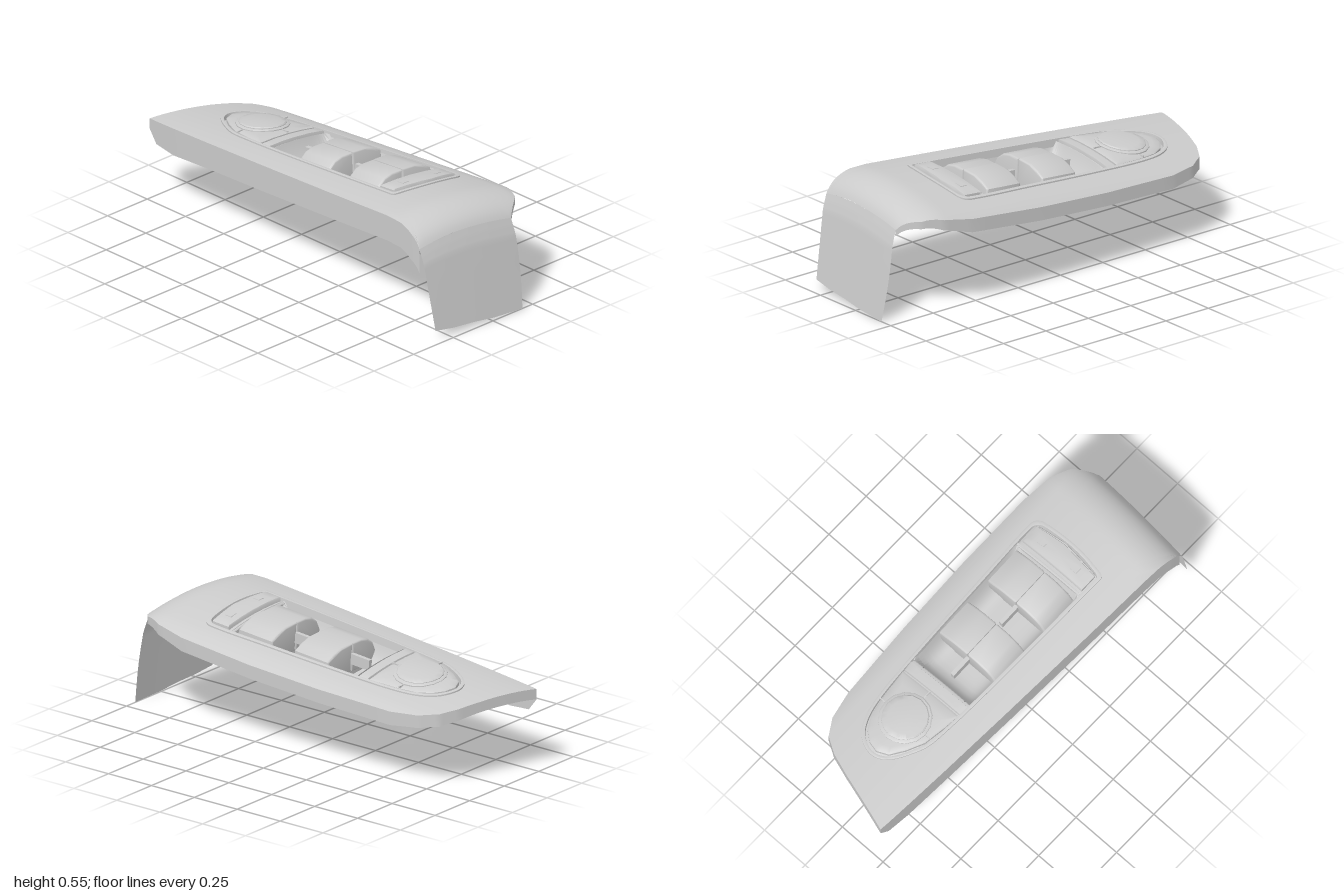
import * as THREE from 'three';
import { mergeVertices, toCreasedNormals } from 'three/addons/utils/BufferGeometryUtils.js';

const material = new THREE.MeshStandardMaterial({ color: 0xcccccc, side: THREE.DoubleSide });
const TILT = Math.atan(0.0845);

// x of the fold where the top turns down into the end flap
const foldX = z => 0.907 - 0.073 * z;

// Height of the crowned, gently rising top surface
function H(x, z) {
  let y = 0.407 + 0.0845 * (x + 1);
  y -= z > 0.13 ? 0.022 * ((z - 0.13) / 0.225) ** 2 : 0.05 * ((0.13 - z) / 0.39) ** 2;
  if (z < -0.26) y -= 2 * (z + 0.26) ** 2;
  const t = THREE.MathUtils.clamp((x - foldX(z) + 0.2) / 0.2, 0, 1);
  return y - 0.15 * (1 - Math.sqrt(1 - (0.96 * t) ** 2));
}

// Grid surface from a rule f(u, v) -> [x, y, z]
function surface(nu, nv, f, crease = 0.6) {
  const pos = [], idx = [];
  for (let j = 0; j <= nv; j++)
    for (let i = 0; i <= nu; i++) pos.push(...f(i / nu, j / nv));
  for (let j = 0; j < nv; j++)
    for (let i = 0; i < nu; i++) {
      const a = j * (nu + 1) + i, b = a + nu + 1;
      idx.push(a, a + 1, b, a + 1, b + 1, b);
    }
  const g = new THREE.BufferGeometry();
  g.setAttribute('position', new THREE.Float32BufferAttribute(pos, 3));
  g.setIndex(idx);
  return toCreasedNormals(mergeVertices(g, 1e-5), crease);
}

// Point on a list of rows at parameter t, linear between rows
function sample(rows, t, closed = true) {
  const n = closed ? rows.length : rows.length - 1;
  const k = Math.min(Math.floor(t * n + 1e-9), n - 1), f = t * n - k;
  const a = rows[k], b = rows[(k + 1) % rows.length];
  return a.map((v, i) => v + (b[i] - v) * f);
}

// Crowned pad that follows the top surface, with a side wall down
function pad(outline, lift, dome, depth) {
  const n = outline.length;
  const cx = outline.reduce((s, p) => s + p[0], 0) / n;
  const cz = outline.reduce((s, p) => s + p[1], 0) / n;
  const rows = [0, 0.25, 0.5, 0.75, 0.95, 1, 1];
  return surface(n * 4, rows.length - 1, (u, v) => {
    const k = Math.round(v * (rows.length - 1)), s = rows[k];
    const [px, pz] = sample(outline, u);
    const x = cx + (px - cx) * s, z = cz + (pz - cz) * s;
    const drop = k === 6 ? depth : k === 5 ? 0.004 : 0;
    return [x, H(x, z) + lift + dome * (1 - s * s) - drop, z];
  });
}

const circle = (cx, cz, r, n = 16) => Array.from({ length: n }, (_, i) => {
  const a = i / n * Math.PI * 2;
  return [cx + r * Math.cos(a), cz + r * Math.sin(a)];
});

// Outline stations, from the front right corner round the front, left and back:
// outer x, outer z, skirt depth, opening x, opening z
const STATIONS = [
  [0.882, 0.35, 0.12, 0.54, 0.185], [0.83, 0.35, 0.13, 0.51, 0.187], [0.75, 0.345, 0.125, 0.48, 0.186],
  [0.3, 0.322, 0.127, 0.25, 0.18], [-0.2, 0.293, 0.13, -0.2, 0.165], [-0.6, 0.267, 0.13, -0.45, 0.15],
  [-0.83, 0.25, 0.135, -0.57, 0.135], [-0.95, 0.24, 0.115, -0.64, 0.105], [-1, 0.235, 0.05, -0.7, 0.07],
  [-0.95, 0.07, 0.05, -0.745, 0.03], [-0.91, -0.06, 0.05, -0.768, -0.03], [-0.87, -0.17, 0.055, -0.755, -0.09],
  [-0.82, -0.25, 0.06, -0.715, -0.145], [-0.74, -0.3, 0.06, -0.64, -0.185], [-0.6, -0.33, 0.065, -0.52, -0.208],
  [-0.2, -0.35, 0.065, -0.2, -0.225], [0.2, -0.357, 0.065, 0.2, -0.235], [0.6, -0.35, 0.065, 0.48, -0.241],
  [0.75, -0.33, 0.05, 0.54, -0.235], [0.85, -0.285, 0.035, 0.562, -0.21], [0.921, -0.19, 0.03, 0.57, -0.15],
  [0.907, 0, 0, 0.572, 0], [0.892, 0.2, 0, 0.558, 0.12],
];
const N = STATIONS.length;
const opening = new THREE.CatmullRomCurve3(STATIONS.map(s => new THREE.Vector3(s[3], 0, s[4])), true);

export function createModel() {
  const root = new THREE.Group();
  const add = (name, geometry, parent = root) => {
    const m = new THREE.Mesh(geometry, material);
    m.name = name;
    parent.add(m);
    return m;
  };

  // Top cover with the switch opening
  add('topCover', surface(N * 5, 14, (u, v) => {
    const o = sample(STATIONS, u), p = opening.getPoint(u);
    const s = 1 - (1 - v) ** 1.4;
    const x = p.x + (o[0] - p.x) * s, z = p.z + (o[1] - p.z) * s;
    return [x, H(x, z), z];
  }));

  // Skirt around the front, left and back
  add('skirt', surface(20 * 5, 2, (u, v) => {
    const [x, z, d] = sample(STATIONS, u * 20 / N);
    return [x, H(x, z) - d * v, z];
  }));

  // Flap hanging from the right hand end
  const hem = [[0.325, 0.045], [0.22, 0.03], [0.1, 0.022], [-0.02, 0.008], [-0.185, 0]];
  const fall = [[0, 0], [0.012, 0.08], [0.025, 0.18], [0.04, 0.4], [0.06, 0.7], [0.08, 1]];
  add('endFlap', surface(16, 20, (u, v) => {
    const [zb, yb] = sample(hem, u, false), [dx, t] = sample(fall, v, false);
    const zt = 0.35 - 0.54 * u, z = zt + (zb - zt) * t - (u === 1 ? 0.012 * Math.sin(t * Math.PI) : 0);
    const y0 = H(foldX(zt), zt);
    return [foldX(zt) + dx, y0 + (yb - y0) * t, z];
  }));

  // Raised bezel along the opening
  const lip = [[0, -0.02], [0, 0.007], [0.006, 0.009], [0.016, 0.007], [0.02, -0.03]];
  add('bezel', surface(N * 5, 4, (u, v) => {
    const p = opening.getPoint(u), [inset, lift] = lip[4 - Math.round(v * 4)];
    const x = -0.1 + (p.x + 0.1) * (1 - inset / 0.67), z = -0.03 + (p.z + 0.03) * (1 - inset / 0.2);
    return [x, H(x, z) + lift, z];
  }));

  // Scooped pocket under the rockers
  add('pocket', surface(32, 24, (u, v) => {
    const x = -0.3 + 0.72 * v, a = 2 * v - 1, b = 2 * u - 1;
    const front = 0.165 + 0.025 * x, back = -0.215 - 0.02 * x;
    const z = back + (front - back) * u;
    return [x, H(x, z) - 0.005 - 0.13 * (1 - a ** 12) * (1 - b ** 6), z];
  }));

  // Rounded deck, mirror control panel and knob at the left
  const deck = [[-0.3, 0.155], [-0.45, 0.145], [-0.57, 0.125], [-0.66, 0.08], [-0.73, 0.03], [-0.755, -0.03],
    [-0.74, -0.09], [-0.7, -0.14], [-0.63, -0.18], [-0.52, -0.2], [-0.3, -0.215]];
  add('mirrorDeck', pad(deck, -0.012, 0, 0.02));
  const panel = deck.map(([x, z]) => [Math.min(-0.375, -0.53 + (x + 0.53) * 0.93), -0.03 + (z + 0.03) * 0.92]);
  add('mirrorPanel', pad(panel, 0.008, 0.008, 0.03));
  add('knobCollar', pad(circle(-0.54, -0.035, 0.125), 0.02, 0, 0.03));
  add('mirrorKnob', pad(circle(-0.54, -0.035, 0.11), 0.027, 0.006, 0.03));
  add('panelBar', pad([[-0.365, 0.14], [-0.365, -0.2], [-0.315, -0.205], [-0.315, 0.145]], 0.004, 0, 0.03));
  for (const [x, z, w, d] of [[-0.395, -0.035, 0.04, 0.006], [-0.54, 0.107, 0.006, 0.03], [-0.54, -0.175, 0.006, 0.03]]) {
    const rib = add('panelRib', new THREE.BoxGeometry(w, 0.008, d));
    rib.position.set(x, H(x, z) + 0.011, z);
    rib.rotation.z = TILT;
  }

  // Lock button at the right
  add('buttonDeck', pad([[0.41, 0.17], [0.41, -0.22], [0.54, -0.222], [0.557, -0.05], [0.53, 0.17]], -0.008, 0, 0.02));
  add('lockButton', pad([[0.432, 0.16], [0.437, -0.21], [0.53, -0.21], [0.543, -0.05], [0.52, 0.16]], 0.013, 0.004, 0.03));
  for (const z of [-0.13, 0.07])
    add('buttonMark', pad([[0.47, z + 0.02], [0.47, z - 0.02], [0.505, z - 0.02], [0.505, z + 0.02]], 0.018, 0, 0.008));

  // Window rockers: rear pad, curved front pad, hollow base and side fin
  const profiles = {
    rockerRear: [[-0.195, -0.11], [-0.19, -0.028], [-0.15, -0.006], [-0.1, 0.01], [-0.032, 0.014], [-0.032, -0.11]],
    rockerFront: [[-0.012, -0.11], [-0.012, 0.013], [0.04, 0.015], [0.085, 0.006], [0.12, -0.02], [0.142, -0.06], [0.15, -0.11]],
  };
  const roundRect = (Type, w, d, r) => {
    const s = new Type();
    for (const [sx, sy, a] of [[1, 1, 0], [-1, 1, 1], [-1, -1, 2], [1, -1, 3]])
      s.absarc(sx * (w / 2 - r), sy * (d / 2 - r), r, a * Math.PI / 2, (a + 1) * Math.PI / 2, false);
    s.closePath();
    return s;
  };
  for (const cx of [-0.037, 0.288]) {
    const rocker = new THREE.Group();
    rocker.name = 'windowRocker';
    rocker.position.set(cx, H(cx, 0), 0);
    rocker.rotation.z = TILT;
    root.add(rocker);
    for (const [name, pts] of Object.entries(profiles)) {
      const g = new THREE.ExtrudeGeometry(new THREE.Shape(pts.map(p => new THREE.Vector2(...p))),
        { depth: 0.18, bevelSize: 0.009, bevelThickness: 0.009, bevelSegments: 3 });
      g.translate(0, 0, -0.09).rotateY(-Math.PI / 2);
      add(name, toCreasedNormals(g, 0.7), rocker);
    }
    const ring = roundRect(THREE.Shape, 0.19, 0.26, 0.04);
    ring.holes.push(roundRect(THREE.Path, 0.17, 0.24, 0.03));
    const base = new THREE.ExtrudeGeometry(ring, { depth: 0.06, bevelEnabled: false, curveSegments: 6 });
    base.rotateX(Math.PI / 2).translate(0, -0.11, -0.02);
    add('rockerBase', toCreasedNormals(base, 0.7), rocker);
    const fin = add('rockerFin', new THREE.BoxGeometry(0.11, 0.05, 0.02), rocker);
    fin.position.set(-0.15, -0.05, -0.022);
  }
  return root;
}
